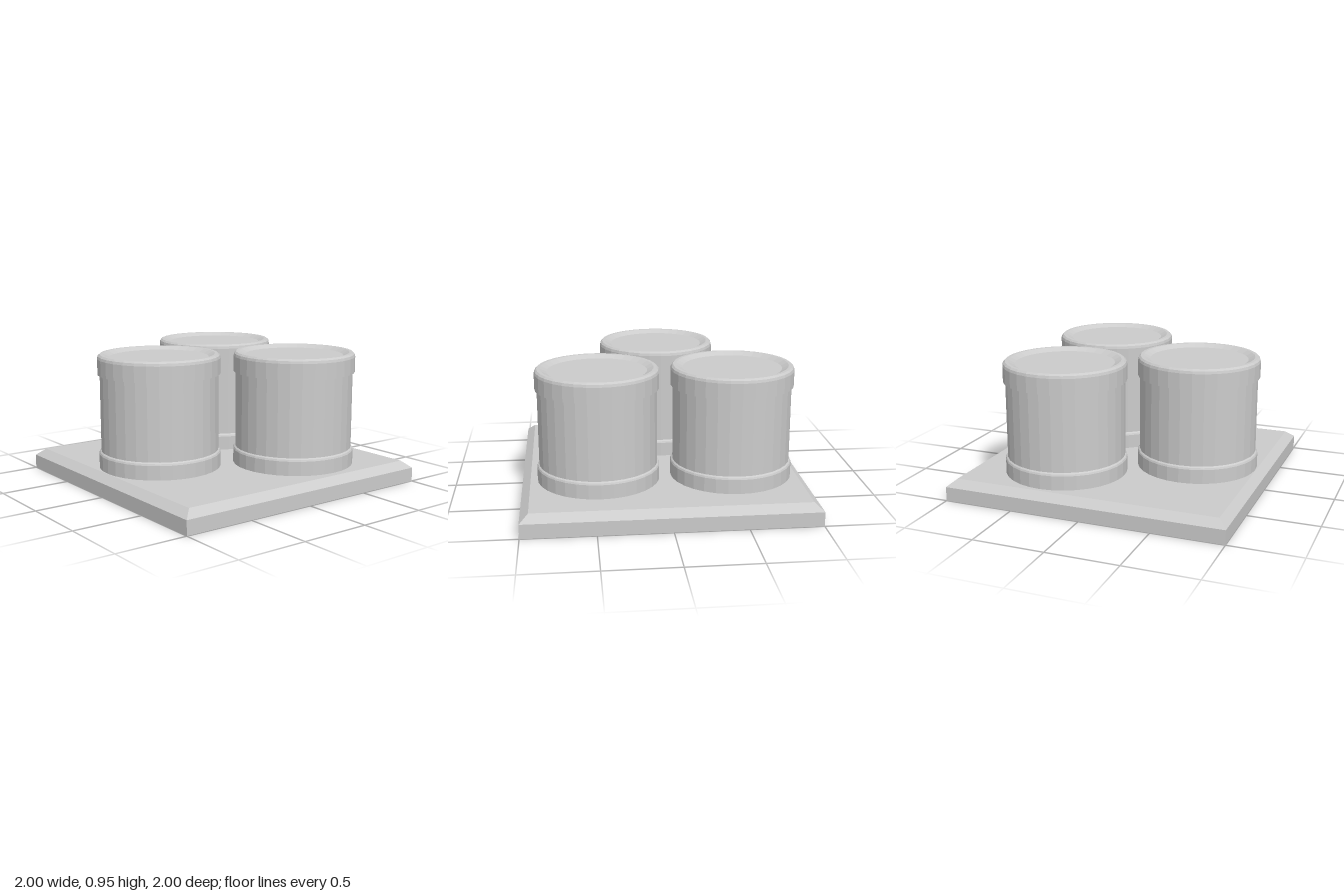
import * as THREE from 'three';

const material = new THREE.MeshStandardMaterial({ color: 0xcccccc, flatShading: true });

// Revolves a bottom-to-top [radius, height] profile into a named, faceted mesh
function turned(name, profile, sides, phiStart = 0) {
  const points = profile.map(([r, y]) => new THREE.Vector2(r, y));
  const mesh = new THREE.Mesh(new THREE.LatheGeometry(points, sides, phiStart), material);
  mesh.name = name;
  return mesh;
}

// One canister: foot ring, body and a lid with a shallow dished top
function createCanister() {
  const canister = new THREE.Group();
  canister.add(
    turned('footRing', [[0, 0.15], [0.43, 0.15], [0.43, 0.25], [0.425, 0.262], [0.415, 0.27]], 32),
    turned('body', [[0.415, 0.26], [0.415, 0.82]], 32),
    turned('lid', [
      [0.415, 0.81], [0.43, 0.81], [0.43, 0.92], [0.425, 0.938], [0.412, 0.95],
      [0.39, 0.95], [0.345, 0.928], [0, 0.928],
    ], 32),
  );
  return canister;
}

export function createModel() {
  const model = new THREE.Group();
  model.name = 'canistersOnBase';

  // Square base with a bevelled top edge: a four-sided turning
  const d = Math.SQRT2;
  model.add(turned('base', [[0, 0], [d, 0], [d, 0.1], [0.94 * d, 0.15], [0, 0.15]], 4, Math.PI / 4));

  // Three matching canisters
  const places = { rightCanister: [-0.505, -0.025], backCanister: [0.32, -0.48], frontCanister: [0.32, 0.46] };
  for (const [name, [x, z]] of Object.entries(places)) {
    const canister = createCanister();
    canister.name = name;
    canister.position.set(x, 0, z);
    model.add(canister);
  }
  return model;
}
